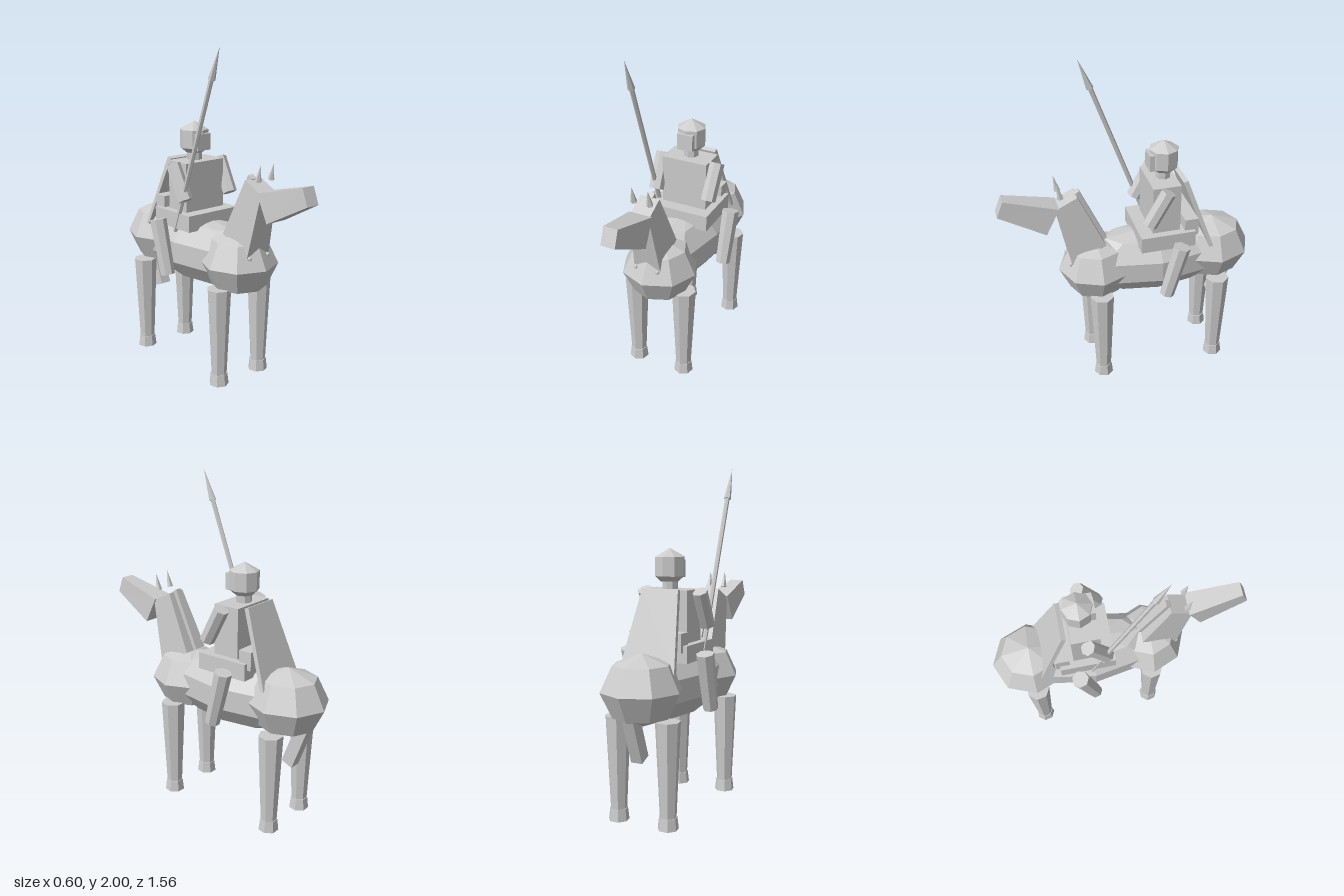
import * as THREE from 'three';

const stone = new THREE.MeshStandardMaterial({ color: 0xcccccc });
stone.name = 'plain grey';

export function createModel() {
  const model = new THREE.Group();
  model.name = 'mountedLancer';

  // Adds a faceted mesh
  function add(name, geometry, x = 0, y = 0, z = 0) {
    const flat = geometry.index ? geometry.toNonIndexed() : geometry;
    flat.computeVertexNormals();
    const mesh = new THREE.Mesh(flat, stone);
    mesh.name = name;
    mesh.position.set(x, y, z);
    model.add(mesh);
    return mesh;
  }

  const box = (name, w, y0, y1, z0, z1) =>
    add(name, new THREE.BoxGeometry(w, y1 - y0, z1 - z0), 0, (y0 + y1) / 2, (z0 + z1) / 2);

  const ball = (name, rings, rx, ry, rz, y, z) =>
    add(name, new THREE.SphereGeometry(1, 8, rings).scale(rx, ry, rz), 0, y, z);

  // Tapered cylinder running from point a up to point b
  function rod(name, a, b, rBottom, rTop, sides = 7) {
    const from = new THREE.Vector3(...a), to = new THREE.Vector3(...b);
    const dir = to.clone().sub(from);
    const mid = from.add(to).multiplyScalar(0.5);
    const mesh = add(name, new THREE.CylinderGeometry(rTop, rBottom, dir.length(), sides), mid.x, mid.y, mid.z);
    mesh.quaternion.setFromUnitVectors(new THREE.Vector3(0, 1, 0), dir.normalize());
    return mesh;
  }

  // Four-cornered side profile [z, y, halfWidth], clockwise in (z, y), mirrored across x
  function wedge(name, corners) {
    const left = corners.map(([z, y, w]) => [w, y, z]);
    const right = corners.map(([z, y, w]) => [-w, y, z]);
    const pos = [];
    const quad = (a, b, c, d) => pos.push(...a, ...b, ...c, ...a, ...c, ...d);
    quad(...left);
    quad(...right.slice().reverse());
    for (let i = 0; i < 4; i++) {
      const j = (i + 1) % 4;
      quad(left[j], left[i], right[i], right[j]);
    }
    const geometry = new THREE.BufferGeometry();
    geometry.setAttribute('position', new THREE.Float32BufferAttribute(pos, 3));
    return add(name, geometry);
  }

  // Horse body
  ball('barrel', 5, 0.22, 0.21, 0.53, 0.75, -0.16);
  ball('chest', 4, 0.232, 0.2, 0.23, 0.74, 0.21);
  ball('rump', 4, 0.232, 0.206, 0.245, 0.767, -0.535);

  // Horse neck, mane, head and tail
  wedge('neck', [[0.37, 0.82, 0.085], [0.16, 0.92, 0.085], [0.32, 1.265, 0.06], [0.45, 1.2, 0.06]]);
  wedge('mane', [[0.17, 0.92, 0.02], [0.14, 0.935, 0.02], [0.3, 1.285, 0.02], [0.33, 1.265, 0.02]]);
  wedge('horseHead', [[0.783, 1.195, 0.043], [0.51, 1.05, 0.072], [0.43, 1.21, 0.072], [0.745, 1.293, 0.043]]);
  wedge('tail', [[-0.53, 0.4, 0.035], [-0.6, 0.37, 0.035], [-0.71, 0.67, 0.035], [-0.64, 0.7, 0.035]]);

  for (const side of [-1, 1]) {
    // Ears and eyes
    rod('ear', [side * 0.05, 1.27, 0.415], [side * 0.05, 1.37, 0.437], 0.02, 0, 5);
    add('eye', new THREE.SphereGeometry(0.014, 6, 4), side * 0.07, 0.815, 0.377);

    // Horse legs and hooves
    for (const [name, z] of [['front', 0.21], ['rear', -0.535]]) {
      rod(name + 'Leg', [side * 0.16, 0.07, z], [side * 0.16, 0.61, z], 0.048, 0.073);
      rod(name + 'Hoof', [side * 0.16, 0, z], [side * 0.16, 0.07, z], 0.06, 0.052);
    }

    // Rider limbs
    rod('riderLeg', [side * 0.245, 0.614, -0.175], [side * 0.25, 0.947, -0.26], 0.045, 0.053);
    rod('riderArm', [side * 0.175, 1.085, -0.08], [side * 0.18, 1.29, -0.19], 0.046, 0.046);
  }

  // Saddle
  box('saddle', 0.38, 0.9, 1.0, -0.365, -0.03);
  box('saddleBack', 0.33, 0.96, 1.07, -0.39, -0.305);

  // Rider torso, neck, helmet and cape
  box('torso', 0.29, 1.0, 1.3, -0.28, -0.11);
  rod('riderNeck', [0, 1.29, -0.21], [0, 1.37, -0.21], 0.046, 0.046, 8);
  const helmetProfile = [[0, 1.345], [0.055, 1.345], [0.088, 1.375], [0.088, 1.485], [0, 1.535]]
    .map(([r, y]) => new THREE.Vector2(r, y));
  add('helmet', new THREE.LatheGeometry(helmetProfile, 8), 0, 0, -0.212);
  box('visor', 0.1, 1.365, 1.465, -0.2, -0.115);
  wedge('cape', [[-0.465, 0.86, 0.175], [-0.49, 0.86, 0.175], [-0.33, 1.31, 0.115], [-0.303, 1.3, 0.115]]);

  // Lance
  const lanceX = -0.183;
  rod('lanceShaft', [lanceX, 0.88, -0.175], [lanceX, 1.825, 0.175], 0.014, 0.014, 6);
  rod('lanceTip', [lanceX, 1.82, 0.175], [lanceX, 2, 0.243], 0.022, 0, 6);

  return model;
}
